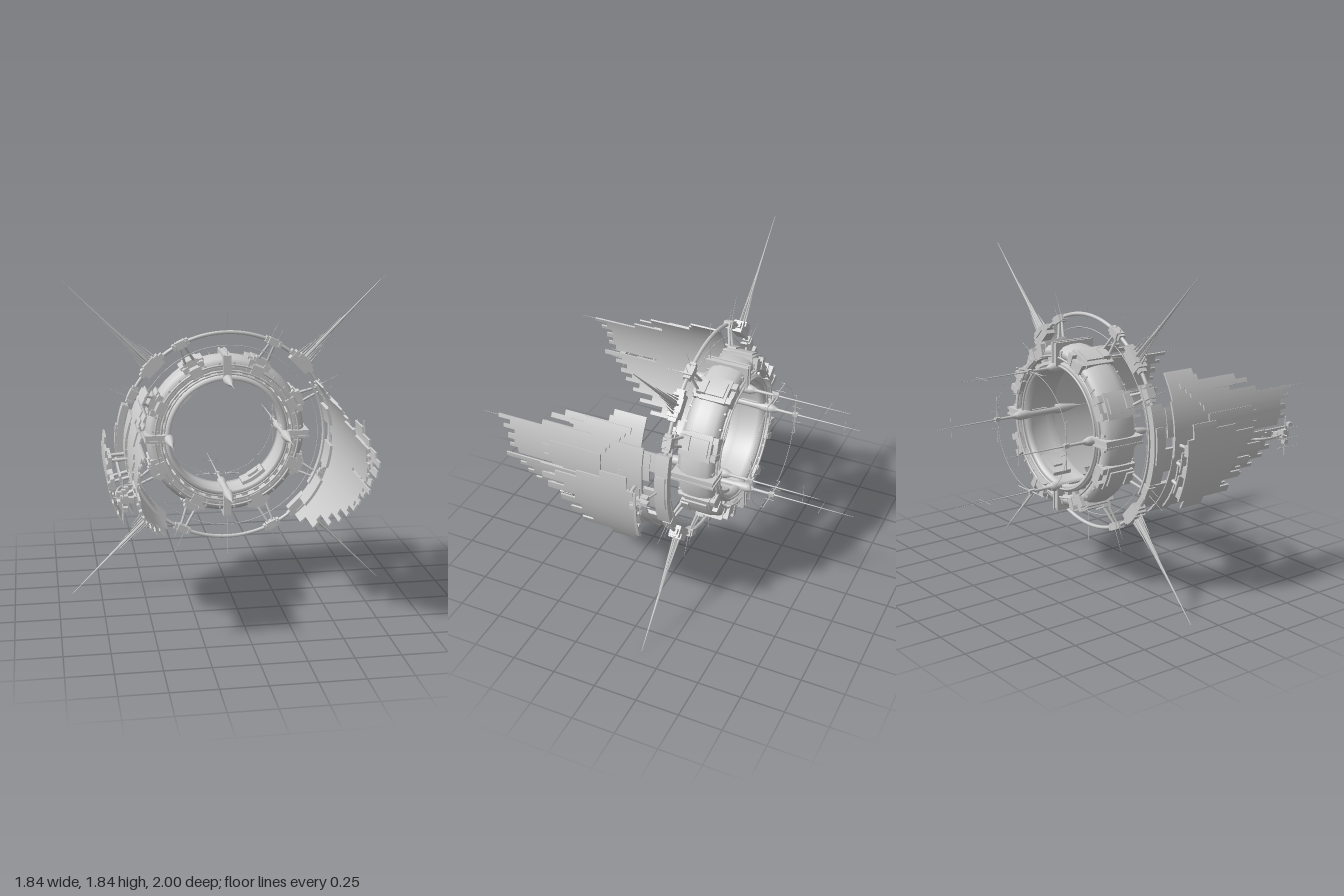
import * as THREE from 'three';

const CY = 0.92, PI = Math.PI, rad = d => d * PI / 180;
const mat = new THREE.MeshStandardMaterial({ color: 0xcccccc });
const matDouble = new THREE.MeshStandardMaterial({ color: 0xcccccc, side: THREE.DoubleSide });

function add(parent, name, geo, m = mat) {
  const mesh = new THREE.Mesh(geo, m);
  mesh.name = name;
  parent.add(mesh);
  return mesh;
}
function sub(parent, name) {
  const g = new THREE.Group();
  g.name = name;
  parent.add(g);
  return g;
}
// Ring sector between two radii and two angles, extruded along z
function arcBlock(r0, r1, a0, a1, z0, z1) {
  const s = new THREE.Shape();
  s.absarc(0, 0, r1, a0, a1, false);
  s.absarc(0, 0, r0, a1, a0, true);
  const curveSegments = Math.max(1, Math.ceil((a1 - a0) / 0.06));
  return new THREE.ExtrudeGeometry(s, { depth: z1 - z0, bevelEnabled: false, curveSegments }).translate(0, 0, z0);
}
// Same sector on the +x side (s = 1) or the -x side (s = -1)
const sideArc = (s, r0, r1, a0, a1, z0, z1) =>
  s > 0 ? arcBlock(r0, r1, a0, a1, z0, z1) : arcBlock(r0, r1, PI - a1, PI - a0, z0, z1);
// Closed profile of [radius, z] pairs revolved about the z axis
const revolve = (pts, seg = 96) =>
  new THREE.LatheGeometry(pts.map(p => new THREE.Vector2(p[0], p[1])), seg).rotateX(PI / 2);
const hoop = (r, t, z) => new THREE.TorusGeometry(r, t, 8, 128).translate(0, 0, z);
// Tapered rod between two points
function rod(parent, name, a, b, r0, r1 = r0, sides = 6) {
  const p = new THREE.Vector3(...a), q = new THREE.Vector3(...b), d = q.clone().sub(p);
  const m = add(parent, name, new THREE.CylinderGeometry(r1, r0, d.length(), sides));
  m.position.copy(p).addScaledVector(d, 0.5);
  m.quaternion.setFromUnitVectors(new THREE.Vector3(0, 1, 0), d.normalize());
  return m;
}
function box(parent, name, size, pos) {
  return add(parent, name, new THREE.BoxGeometry(...size).translate(...pos));
}

function buildMainRing(root) {
  const g = sub(root, 'mainRing');
  // Rounded outer body and stepped inner rails
  add(g, 'ringBody', revolve([[0.392, -0.13], [0.392, -0.31], [0.41, -0.33], [0.435, -0.325], [0.455, -0.3],
    [0.465, -0.25], [0.465, -0.19], [0.452, -0.15], [0.43, -0.125], [0.392, -0.13]]), matDouble);
  add(g, 'innerRail', revolve([[0.332, -0.12], [0.332, -0.17], [0.342, -0.18], [0.342, -0.27], [0.332, -0.28],
    [0.332, -0.32], [0.368, -0.32], [0.372, -0.2], [0.368, -0.15], [0.355, -0.13], [0.35, -0.11], [0.332, -0.12]]), matDouble);
  for (const [r, z] of [[0.365, -0.14], [0.385, -0.125], [0.4, -0.335], [0.352, -0.33], [0.42, -0.12]])
    add(g, 'railHoop', hoop(r, 0.006, z));
  // Ties across the slot between the rails
  for (let i = 0; i < 32; i++) {
    const a = (i + 0.5) * PI / 16;
    add(g, 'slotTie', arcBlock(0.365, 0.398, a - 0.045, a + 0.045, -0.3, -0.14));
    add(g, 'bodyRib', arcBlock(0.4, 0.438, a - 0.012, a + 0.012, -0.332, -0.118));
  }
  // Armour plates flanking each diagonal
  for (let q = 0; q < 4; q++) for (const d of [25, 65]) {
    const a = rad(d + q * 90), w = rad(9);
    add(g, 'armourPlate', arcBlock(0.415, 0.476, a - w, a + w, -0.315, -0.17));
    add(g, 'armourCap', arcBlock(0.41, 0.486, a - w * 0.6, a + w * 0.6, -0.3, -0.15));
    for (const e of [-1, 1])
      add(g, 'armourLug', arcBlock(0.4, 0.468, a + e * w * 0.65 - 0.04, a + e * w * 0.65 + 0.04, -0.345, -0.13));
    add(g, 'armourFace', arcBlock(0.39, 0.445, a - w * 0.55, a + w * 0.55, -0.34, -0.112));
  }
  // Stray liner sections on the inside
  for (const [a0, a1] of [[122, 148], [-72, -45]]) {
    add(g, 'liner', arcBlock(0.312, 0.335, rad(a0), rad(a1), -0.29, -0.17));
    add(g, 'linerStep', arcBlock(0.298, 0.315, rad(a0 + 9), rad(a1 - 5), -0.26, -0.2));
  }
}

// Clamp band, pod and long rear antenna at each quarter
function buildPods(root) {
  const tips = [-0.9, -0.93, -0.9, -1];
  tips.forEach((tip, i) => {
    const g = sub(root, 'quarterPod');
    for (const e of [-1, 1]) box(g, 'clampBand', [0.15, 0.012, 0.25], [0.405, e * 0.017, -0.225]);
    box(g, 'clampCore', [0.14, 0.026, 0.235], [0.405, 0, -0.225]);
    add(g, 'pod', revolve([[0.0008, 0.15], [0.002, 0.08], [0.006, 0.05], [0.018, 0], [0.027, -0.06], [0.028, -0.1],
      [0.02, -0.13], [0.02, -0.28], [0.026, -0.31], [0.026, -0.36], [0.018, -0.385], [0.009, -0.4], [0.007, -0.5],
      [0.004, -0.56], [0.003, -0.75], [0.0008, tip]].reverse(), 16), matDouble).position.x = 0.34;
    // Aerial: crossbar with upright pins
    for (const e of [-0.13, -0.05, 0.05, 0.13])
      rod(g, 'aerialPin', [0.34, e, -0.51 - 0.035 * (Math.abs(e) < 0.1)], [0.34, e, -0.49], 0.0016);
    rod(g, 'aerialBar', [0.34, -0.13, -0.51], [0.34, 0.13, -0.51], 0.003);
    rod(g, 'tipBar', [0.34, -0.055, -0.81], [0.34, 0.055, -0.81], 0.0012);
    box(g, 'aerialHub', [0.022, 0.022, 0.03], [0.34, 0, -0.51]);
    g.rotation.z = i * PI / 2;
  });
  add(root, 'aerialHoop', hoop(0.34, 0.0013, -0.505));
}

function buildOuterRing(root) {
  const g = sub(root, 'outerRing');
  add(g, 'outerTube', hoop(0.61, 0.011, -0.12));
  add(g, 'wireHoop', hoop(0.535, 0.002, -0.12));
  for (const e of [-1, 1]) rod(g, 'poleNeedle', [0, e * 0.47, -0.12], [0, e * 0.72, -0.12], 0.002, 0.0008);
  // Small clamps with twin struts to the armour plates
  for (let q = 0; q < 4; q++) for (const d of [26, 64]) {
    const c = sub(g, 'strutClamp');
    box(c, 'clampBlock', [0.042, 0.06, 0.05], [0.608, 0, -0.12]);
    for (const e of [-1, 1]) {
      box(c, 'clampCollar', [0.034, 0.016, 0.04], [0.609, e * 0.042, -0.12]);
      rod(c, 'strut', [0.46, e * 0.03, -0.16], [0.6, e * 0.014, -0.12], 0.009, 0.007, 8);
      rod(c, 'clampNeedle', [0.6, e * 0.02, -0.12], [e > 0 ? 0.76 : 0.69, e * 0.022, -0.12], 0.002, 0.0006);
    }
    box(c, 'strutFoot', [0.04, 0.08, 0.05], [0.475, 0, -0.17]);
    c.rotation.z = rad(d + q * 90);
  }
  // Diagonal emitters with bundles of spikes
  for (let q = 0; q < 4; q++) {
    const c = sub(g, 'spikeEmitter');
    box(c, 'emitterBlock', [0.066, 0.13, 0.06], [0.605, 0, -0.12]);
    box(c, 'emitterPlate', [0.03, 0.175, 0.045], [0.61, 0, -0.12]);
    box(c, 'emitterCap', [0.03, 0.075, 0.075], [0.63, 0, -0.12]);
    rod(c, 'mainSpike', [0.62, 0, -0.12], [1.3, 0, -0.12], 0.013, 0.0015);
    for (const [t, z, end] of [[0.016, 0, 0.98], [-0.016, 0.004, 0.9], [0.03, -0.006, 0.82], [-0.03, 0, 0.79],
      [0, 0.017, 0.95], [0, -0.017, 0.86], [0.048, 0, 0.73], [-0.048, 0, 0.76]])
      rod(c, 'sideSpike', [0.62, t, -0.12 + z], [end, t * 0.75, -0.12 + z * 0.4], 0.007, 0.001, 5);
    c.rotation.z = PI / 4 + q * PI / 2;
  }
}

// Wing rows from the top: upper edge height and forward reach
const wingRows = [[1.27, 0.22], [1.24, 0.24], [1.21, 0.5], [1.18, 0.58], [1.155, 0.44], [1.13, 0.63], [1.1, 0.905],
  [1.08, 0.83], [1.05, 0.87], [1.03, 0.8], [1, 0.84], [0.97, 0.8], [0.94, 0.83], [0.92, 0.78], [0.885, 0.5],
  [0.865, 0.86], [0.84, 0.74], [0.82, 0.78], [0.8, 0.7], [0.77, 0.74], [0.745, 0.66], [0.72, 0.7], [0.7, 0.6],
  [0.67, 0.64], [0.65, 0.5], [0.62, 0.58], [0.6, 0.42], [0.57, 0.49], [0.55, 0.3], [0.52, 0.34], [0.49, 0.15], [0.46, 0]];
const finRows = [[1.03, 0.2], [0.99, 0.34], [0.95, 0.47], [0.92, 0.55], [0.885, 0.42], [0.86, 0.52], [0.82, 0.36],
  [0.79, 0.45], [0.75, 0.33], [0.71, 0.4], [0.67, 0.28], [0.63, 0.35], [0.59, 0.18], [0.54, 0]];

function rowShell(parent, name, s, rows, r0, r1, start, trim = z => z) {
  const ang = y => Math.asin((y - CY) / r1);
  for (let i = 0; i < rows.length - 1; i++) {
    const [y, z] = rows[i], yb = rows[i + 1][0], z0 = start(y);
    if (trim(z, y) > z0) add(parent, name, sideArc(s, r0, r1, ang(yb), ang(y), z0, trim(z, y)));
  }
}

function buildSide(root, s) {
  const g = sub(root, s > 0 ? 'leftWing' : 'rightWing');
  // Thick arc on the outer ring and mounts reaching forward to the wing
  add(g, 'sideBand', sideArc(s, 0.605, 0.642, rad(-20), rad(20), -0.155, -0.08));
  add(g, 'sideBandCap', sideArc(s, 0.6, 0.652, rad(-9), rad(9), -0.145, -0.09));
  add(g, 'innerBand', sideArc(s, 0.565, 0.575, rad(-32), rad(32), -0.14, -0.1));
  for (const [a, b] of [[-42, -25], [-17, -4], [8, 18]])
    add(g, 'wingMount', sideArc(s, 0.575, 0.595, rad(a), rad(b), -0.12, 0.04));
  // Wing shell with raised panels
  rowShell(g, 'wingStrip', s, wingRows, 0.59, 0.6, y => (y > 1.12 ? 0.03 : y > 0.95 ? -0.03 : 0.01));
  rowShell(g, 'wingPanelLow', s, wingRows.slice(18), 0.6, 0.61, y => 0.05 + (0.8 - y) * 0.1, z => z - 0.1);
  rowShell(g, 'wingPanelMid', s, wingRows.slice(9, 18), 0.6, 0.608, () => 0.26, z => z - 0.22);
  rowShell(g, 'wingPanelTop', s, wingRows.slice(2, 9), 0.6, 0.608, y => 0.1 + (1.21 - y), z => Math.min(z - 0.12, 0.5));
  rowShell(g, 'wingPanelRoot', s, wingRows.slice(5, 18), 0.6, 0.612, () => 0.01, (z, y) => 0.14 + Math.abs(y - 1) * 0.3);
  rod(g, 'wingHair', [s * 0.573, 0.172, 0.89], [s * 0.573, 0.172, 1], 0.0015, 0.0006);
  // Outer fin shell and its brackets
  rowShell(g, 'finStrip', s, finRows, 0.724, 0.734, y => (y > 0.95 || y < 0.62 ? 0.04 : 0));
  rowShell(g, 'finPanel', s, finRows.slice(2, 11), 0.714, 0.724, () => 0.03, z => z * 0.6);
  for (const d of [-24, -13, -3]) for (const z of [0.05, 0.16]) {
    const a = s > 0 ? rad(d) : PI - rad(d), c = Math.cos(a), n = Math.sin(a);
    rod(g, 'finBracket', [0.6 * c, 0.6 * n, z], [0.725 * c, 0.725 * n, z], 0.011, 0.008, 8);
    add(g, 'bracketPad', sideArc(s, 0.69, 0.716, rad(d - 2.5), rad(d + 2.5), z - 0.04, z + 0.06));
  }
  for (const d of [-22, -10])
    add(g, 'innerFin', sideArc(s, 0.655, 0.665, rad(d - 5), rad(d + 5), 0.02, d < -15 ? 0.32 : 0.4));
}

// Sensor bow on the left
function buildSensorBow(root) {
  const g = sub(root, 'sensorBow');
  add(g, 'bow', arcBlock(0.794, 0.8, rad(-16), rad(6), -0.05, -0.035));
  rod(g, 'bowArm', [0.64, 0, -0.1], [0.795, 0, -0.045], 0.006);
  rod(g, 'bowPost', [0.755, -0.07, -0.05], [0.755, 0.09, -0.05], 0.004);
  for (const [x, y, z, h] of [[0.755, 0, -0.05, 0.05], [0.775, 0.02, -0.09, 0.02], [0.765, -0.03, -0.02, 0.025], [0.735, 0.015, -0.07, 0.03]])
    box(g, 'sensorBox', [0.03, h, 0.04], [x, y, z]);
  rod(g, 'bowBoom', [0.775, 0, -0.12], [0.775, 0, 0], 0.004);
}

// Instrument boom on the right wing
function buildBoom(root) {
  const g = sub(root, 'instrumentBoom');
  const path = new THREE.CatmullRomCurve3([[-0.6, -0.07, 0.53], [-0.66, -0.07, 0.55], [-0.69, -0.07, 0.62],
    [-0.685, -0.07, 0.7], [-0.66, -0.07, 0.76]].map(p => new THREE.Vector3(...p)));
  add(g, 'boomArm', new THREE.TubeGeometry(path, 20, 0.007, 8));
  for (const [x, y, z, w] of [[-0.665, -0.07, 0.76, 0.04], [-0.69, -0.05, 0.74, 0.025], [-0.63, -0.08, 0.75, 0.03],
    [-0.66, -0.12, 0.78, 0.025], [-0.67, -0.02, 0.8, 0.022], [-0.645, -0.06, 0.63, 0.025]])
    box(g, 'instrument', [w, w, w * 1.2], [x, y, z]);
  rod(g, 'boomMast', [-0.67, -0.2, 0.77], [-0.67, 0.03, 0.77], 0.004);
  rod(g, 'boomCross', [-0.72, -0.07, 0.74], [-0.59, -0.07, 0.74], 0.004);
  for (const y of [-0.15, -0.1, -0.04])
    rod(g, 'boomNeedle', [-0.67, y, 0.72], [-0.68, y, 0.86], 0.003, 0.001);
}

export function createModel() {
  const model = new THREE.Group();
  model.name = 'ringStation';
  const root = sub(model, 'station');
  root.position.y = CY;
  buildMainRing(root);
  buildPods(root);
  buildOuterRing(root);
  for (const s of [-1, 1]) buildSide(root, s);
  buildSensorBow(root);
  buildBoom(root);
  return model;
}
